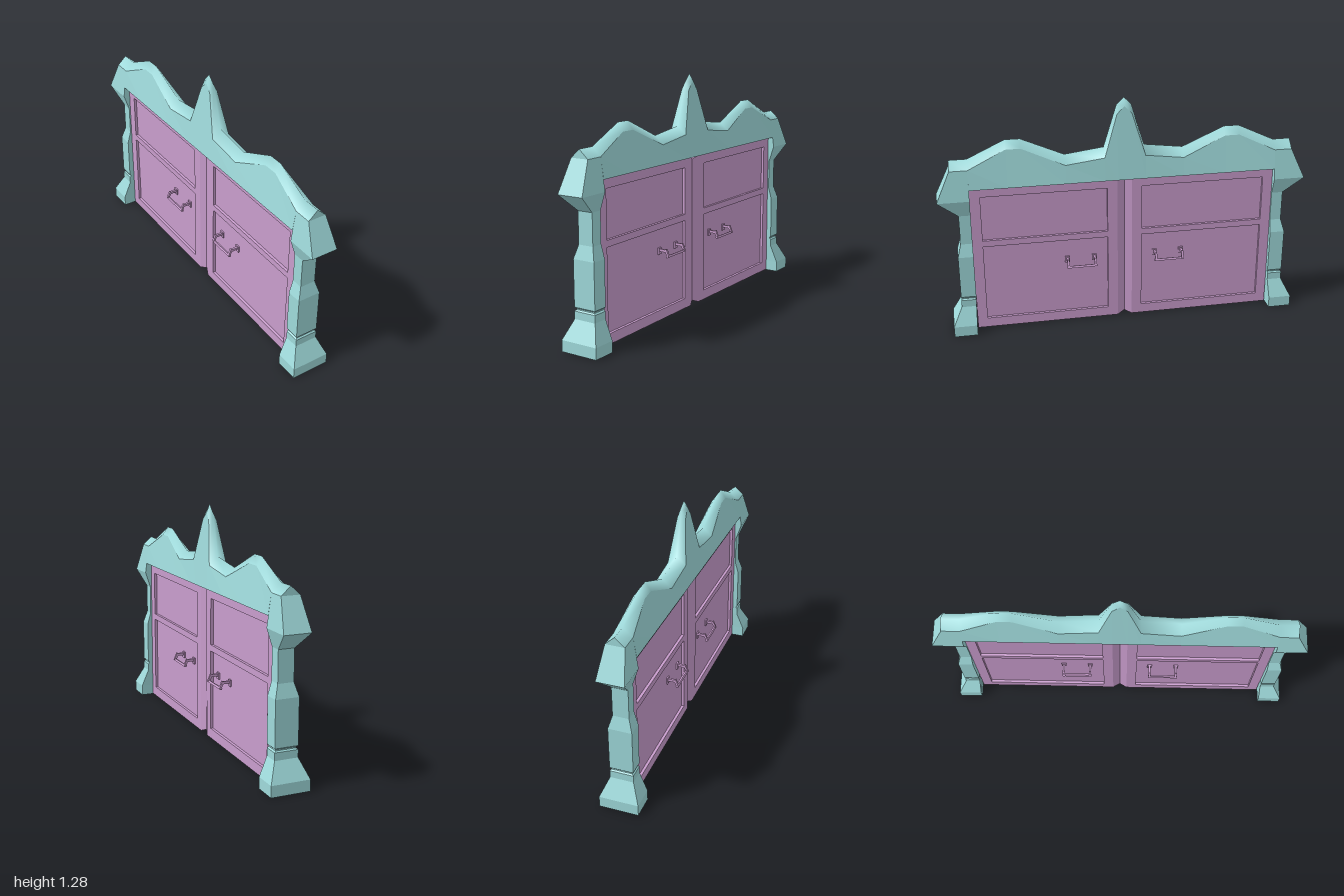
import * as THREE from 'three';

const teal = new THREE.MeshStandardMaterial({ color: 0x9fdadb });
teal.name = 'pale teal';
const mauve = new THREE.MeshStandardMaterial({ color: 0xc99dcd });
mauve.name = 'mauve';

// Skin a series of equal-length rings; closed rings get end caps.
function loft(rings, { closed = true, smooth = false } = {}) {
  const n = rings[0].length, index = [];
  const last = (rings.length - 1) * n;
  for (let i = 0; i < rings.length - 1; i++) {
    for (let j = 0; j < (closed ? n : n - 1); j++) {
      const k = (j + 1) % n, a = i * n + j, b = i * n + k;
      index.push(a, b, b + n, a, b + n, a + n);
    }
  }
  if (closed) {
    for (let j = 1; j < n - 1; j++) {
      index.push(0, j + 1, j, last, last + j, last + j + 1);
    }
  }
  const g = new THREE.BufferGeometry();
  g.setAttribute('position', new THREE.Float32BufferAttribute(rings.flat(2), 3));
  g.setIndex(index);
  if (smooth) {
    g.computeVertexNormals();
    return g;
  }
  const flat = g.toNonIndexed();
  flat.computeVertexNormals();
  return flat;
}

function add(parent, name, geometry, material) {
  const mesh = new THREE.Mesh(geometry, material);
  mesh.name = name;
  parent.add(mesh);
  return mesh;
}

function box(parent, name, size, pos, material) {
  const mesh = add(parent, name, new THREE.BoxGeometry(...size), material);
  mesh.position.set(...pos);
  return mesh;
}

// Gate post: [height, half width, outer z, inner z]
function post(parent) {
  const column = (name, levels) => add(parent, name, loft(levels.map(([y, h, out, inn]) =>
    [[-h, y, out], [h, y, out], [h, y, inn], [-h, y, inn]])), teal);
  column('postFoot', [
    [0, 0.105, 0.962, 0.835], [0.06, 0.105, 0.962, 0.835],
    [0.16, 0.063, 0.912, 0.832], [0.2, 0.063, 0.912, 0.832], [0.207, 0.055, 0.905, 0.832],
  ]);
  column('postShaftAndCap', [
    [0.207, 0.055, 0.905, 0.83], [0.213, 0.055, 0.905, 0.83], [0.22, 0.063, 0.912, 0.83],
    [0.46, 0.063, 0.912, 0.83], [0.53, 0.043, 0.893, 0.83], [0.695, 0.043, 0.893, 0.83],
    [0.787, 0.073, 1, 0.83], [0.952, 0.05, 0.925, 0.83],
  ]);
}

// Wavy header with a ridged top and a central spike
function header(parent) {
  // z, ridge height, shoulder half width
  const half = [
    [0.04, 1.245, 0.023], [0.11, 1.016, 0.05], [0.32, 0.989, 0.05], [0.55, 1.091, 0.03],
    [0.63, 1.091, 0.03], [0.83, 0.997, 0.05], [0.925, 0.997, 0.05],
  ];
  const stations = [
    ...half.map(([z, y, s]) => [-z, y, s]).reverse(), [0, 1.285, 0.018], ...half,
  ];
  const drop = 0.045, low = 0.845, wide = 0.066;
  add(parent, 'headerWall', loft(stations.slice(1, -1).map(([z, y, s]) =>
    [[-wide, low, z], [wide, low, z], [s, y - drop, z], [-s, y - drop, z]])), teal);
  add(parent, 'headerRidge', loft(stations.map(([z, y, s]) =>
    [[s, y - drop, z], [0, y, z], [-s, y - drop, z]]), { closed: false, smooth: true }), teal);
  // Small gables closing the ridge ends
  for (const turn of [0, Math.PI]) {
    const gable = new THREE.BufferGeometry();
    gable.setAttribute('position', new THREE.Float32BufferAttribute(
      [-0.05, 0.952, 0.925, 0.05, 0.952, 0.925, 0, 0.997, 0.925], 3));
    gable.computeVertexNormals();
    add(parent, 'ridgeEnd', gable, teal).rotation.y = turn;
  }
}

function rectangle(target, z0, z1, y0, y1) {
  target.moveTo(z0, y0);
  target.lineTo(z1, y0);
  target.lineTo(z1, y1);
  target.lineTo(z0, y1);
  target.closePath();
  return target;
}

// Pull handle on the +x side (side = 1) or the -x side (side = -1)
function handle(parent, side) {
  const g = new THREE.Group();
  g.name = 'handle';
  for (const z of [0.17, 0.32]) {
    box(g, 'handleRosette', [0.008, 0.036, 0.026], [side * 0.024, 0.38, z], mauve);
    box(g, 'handlePost', [0.05, 0.014, 0.012], [side * 0.045, 0.385, z], mauve);
    const arm = box(g, 'handleArm', [0.012, 0.045, 0.012], [side * 0.073, 0.373, z], mauve);
    arm.rotation.z = side * 0.4;
  }
  const bar = box(g, 'handleBar', [0.012, 0.012, 0.166], [side * 0.078, 0.356, 0.245], mauve);
  bar.rotation.z = side * 0.4;
  parent.add(g);
}

// Door leaf: panelled frame, recessed core, tapered meeting edge
function door(parent) {
  const t = 0.035;
  const shape = rectangle(new THREE.Shape(), 0.04, 0.83, 0.005, 0.84);
  shape.holes.push(
    rectangle(new THREE.Path(), 0.095, 0.775, 0.06, 0.5),
    rectangle(new THREE.Path(), 0.095, 0.775, 0.535, 0.79));
  const frame = new THREE.ExtrudeGeometry(shape, { depth: 2 * t, bevelEnabled: false });
  frame.rotateY(-Math.PI / 2);
  frame.translate(t, 0, 0);
  add(parent, 'doorFrame', frame, mauve);
  box(parent, 'doorPanel', [0.04, 0.77, 0.72], [0, 0.42, 0.435], mauve);
  const ring = (h, y0, y1, z) => [[-h, y0, z], [h, y0, z], [h, y1, z], [-h, y1, z]];
  add(parent, 'doorMeetingEdge',
    loft([ring(0.018, 0.022, 0.823, 0), ring(t, 0.005, 0.84, 0.04)]), mauve);
  handle(parent, 1);
  handle(parent, -1);
}

export function createModel() {
  const gate = new THREE.Group();
  gate.name = 'gate';
  header(gate);
  for (const turn of [0, Math.PI]) {
    const half = new THREE.Group();
    half.name = turn ? 'backHalf' : 'frontHalf';
    post(half);
    door(half);
    half.rotation.y = turn;
    gate.add(half);
  }
  return gate;
}
